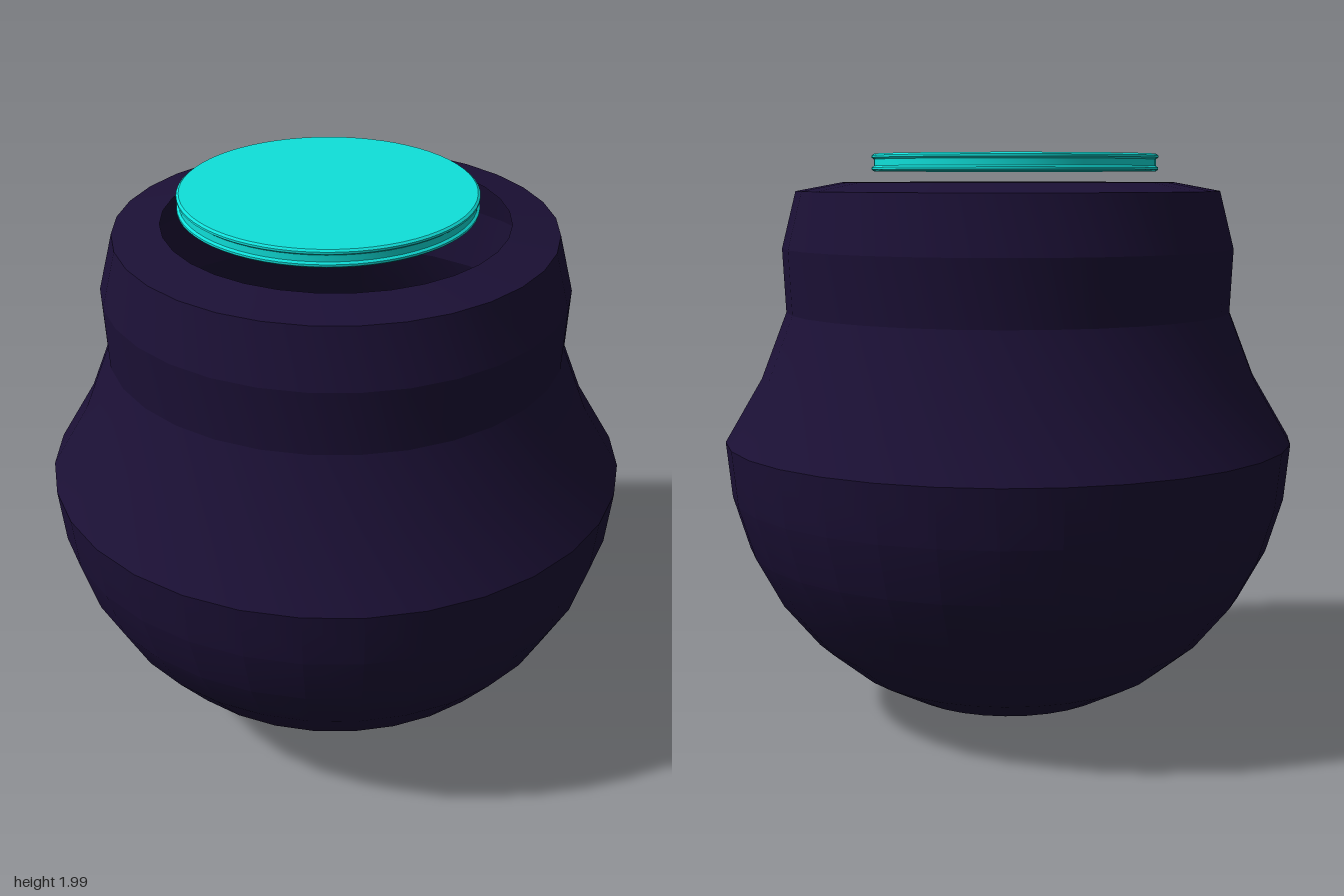
import * as THREE from 'three';
import { toCreasedNormals } from 'three/addons/utils/BufferGeometryUtils.js';

// Turned part from [radius, height] pairs, listed bottom to top
function turned(name, profile, segments, color, crease) {
  const points = profile.map(([r, y]) => new THREE.Vector2(r, y));
  const geometry = toCreasedNormals(new THREE.LatheGeometry(points, segments), crease);
  const material = new THREE.MeshStandardMaterial({ color, side: THREE.DoubleSide });
  const mesh = new THREE.Mesh(geometry, material);
  mesh.name = name;
  return mesh;
}

export function createModel() {
  const group = new THREE.Group();
  group.name = 'roundPot';

  // Hollow pot: half-sphere bowl, sloping shoulder, neck and bevelled open rim
  const bowl = [];
  for (let i = 0; i <= 8; i++) {
    const a = (i * Math.PI) / 16;
    bowl.push([Math.sin(a), 1 - Math.cos(a)]);
  }
  const neck = [[0.87, 1.22], [0.78, 1.45], [0.79, 1.67], [0.74, 1.865], [0.58, 1.895]];
  group.add(turned('pot', [...bowl, ...neck], 32, 0x1b1035, 0.26));

  // Thin lid floating just above the opening, with a shallow groove round its edge
  const lid = turned('lid', [
    [0, 1.932], [0.49, 1.932], [0.498, 1.938], [0.498, 1.945], [0.49, 1.951],
    [0.49, 1.973], [0.498, 1.979], [0.498, 1.986], [0.49, 1.992], [0, 1.992],
  ], 64, 0x0fe0da, 0.5);
  lid.position.set(-0.012, 0, -0.025);
  group.add(lid);

  return group;
}
